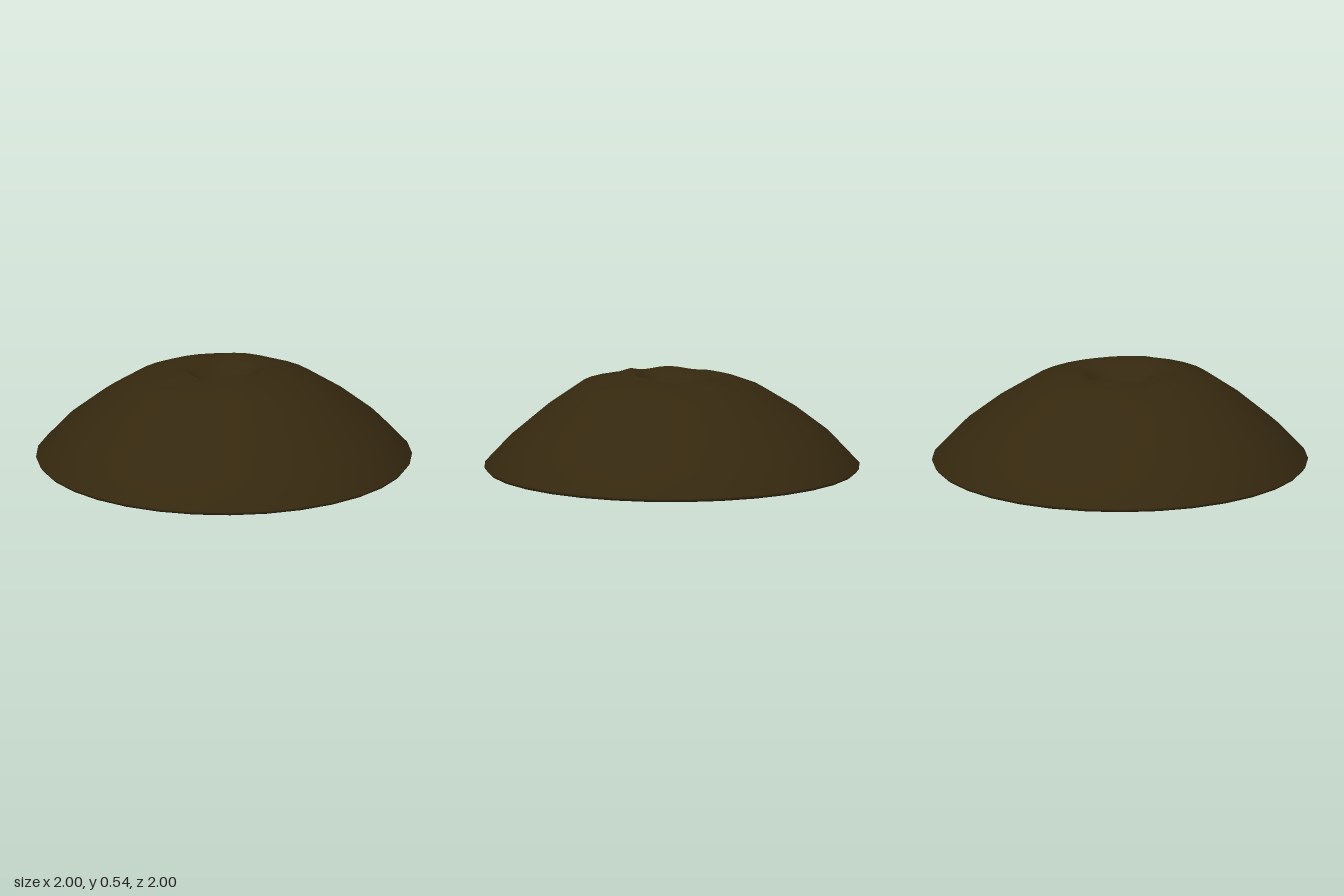
import * as THREE from 'three';
import { mergeVertices } from 'three/addons/utils/BufferGeometryUtils.js';

// Profile from the base centre, around the foot, up the slope, over the rim and into the crater
const PROFILE = [
  [0, 0], [0.985, 0], [1, 0.02], [0.86, 0.17], [0.68, 0.315], [0.49, 0.44],
  [0.35, 0.479], [0.23, 0.508], [0.17, 0.478], [0.11, 0.435], [0, 0.42],
];

// Uneven height: high toward the front of the rim, slightly lower at the back
function heightOffset(r, x, z) {
  if (r < 0.15 || r > 0.8) return 0;
  const angle = Math.atan2(x, z);
  const tilt = 0.016 * Math.cos(angle);
  if (r > 0.4) return r > 0.6 ? tilt * 0.5 : tilt;
  const peak = Math.max(0, Math.cos(angle - 0.45)) ** 3;
  const ripple = 0.006 * Math.sin(angle * 5 + 1);
  const rim = r < 0.3 ? 1 : 0.5;
  return rim * (0.026 * peak + ripple);
}

export function createModel() {
  const group = new THREE.Group();
  group.name = 'crateredMound';
  const earth = new THREE.MeshStandardMaterial({ color: 0x35280f });
  earth.name = 'dark brown earth';

  // Mound with 32 sides
  let geometry = new THREE.LatheGeometry(PROFILE.map(([r, y]) => new THREE.Vector2(r, y)), 32);
  const pos = geometry.attributes.position;
  for (let i = 0; i < pos.count; i++) {
    const x = pos.getX(i), y = pos.getY(i), z = pos.getZ(i);
    if (y > 0.1) pos.setY(i, y + heightOffset(Math.hypot(x, z), x, z));
  }

  // Weld the seam so the shading is smooth all round
  geometry.deleteAttribute('uv');
  geometry.deleteAttribute('normal');
  geometry = mergeVertices(geometry, 1e-4);
  geometry.computeVertexNormals();

  const mound = new THREE.Mesh(geometry, earth);
  mound.name = 'mound';
  group.add(mound);
  return group;
}
